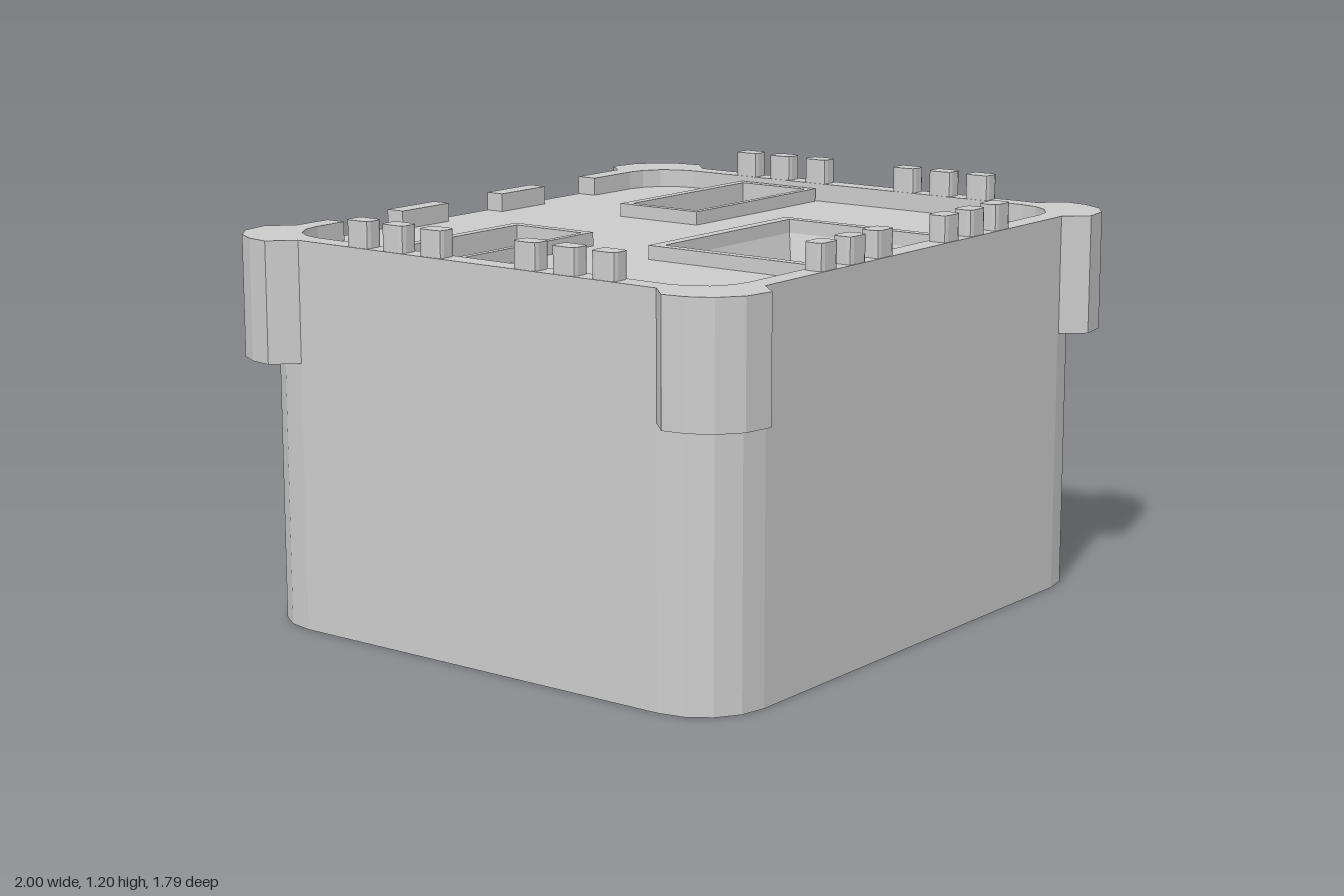
import * as THREE from 'three';

const FLOOR = 1.07, RIM = 1.125, FRAME = 1.11, PIT = 0.94;
const HX = 0.935, HZ = 0.83;

const material = new THREE.MeshStandardMaterial({ color: 0xcccccc, flatShading: true, side: THREE.DoubleSide });

// Quarter arc of plan points [x, z] for the corner on side (sx, sz), from the x side to the z side
function cornerArc(hx, hz, r, sx, sz, n = 4) {
  return Array.from({ length: n + 1 }, (_, i) => {
    const a = (i / n) * Math.PI / 2;
    return [sx * (hx - r + r * Math.cos(a)), sz * (hz - r + r * Math.sin(a))];
  });
}

// Rounded rectangle running from the back edge round +x, front, -x and again to the back
function outline(hx, hz, r, n = 4) {
  return [
    ...cornerArc(hx, hz, r, 1, -1, n).reverse(), ...cornerArc(hx, hz, r, 1, 1, n),
    ...cornerArc(hx, hz, r, -1, 1, n).reverse(), ...cornerArc(hx, hz, r, -1, -1, n),
  ];
}

const rect = (x0, x1, z0, z1) => [[x0, z0], [x1, z0], [x1, z1], [x0, z1]];
const toVectors = (pts) => pts.map(([x, z]) => new THREE.Vector2(x, -z));

function planShape(pts, holes = []) {
  const shape = new THREE.Shape(toVectors(pts));
  shape.holes = holes.map((h) => new THREE.Path(toVectors(h)));
  return shape;
}

// Upright prism over a plan outline
function prism(pts, y0, y1, holes) {
  const geo = new THREE.ExtrudeGeometry(planShape(pts, holes), { depth: y1 - y0, bevelEnabled: false });
  return geo.rotateX(-Math.PI / 2).translate(0, y0, 0);
}

// Walls between two plan loops, with an optional four-cornered floor on the second
function loft(top, y0, bottom, y1, floor) {
  const n = top.length, pos = [], index = [];
  top.forEach(([x, z]) => pos.push(x, y0, z));
  bottom.forEach(([x, z]) => pos.push(x, y1, z));
  for (let i = 0; i < n; i++) {
    const j = (i + 1) % n;
    index.push(i, n + i, j, j, n + i, n + j);
  }
  if (floor) index.push(n, n + 2, n + 1, n, n + 3, n + 2);
  const geo = new THREE.BufferGeometry();
  geo.setAttribute('position', new THREE.Float32BufferAttribute(pos, 3));
  geo.setIndex(index);
  const flat = geo.toNonIndexed();
  flat.computeVertexNormals();
  return flat;
}

export function createModel() {
  const model = new THREE.Group();
  model.name = 'housing';
  const add = (name, geo, parent = model) => {
    const mesh = new THREE.Mesh(geo, material);
    mesh.name = name;
    parent.add(mesh);
    return mesh;
  };

  // Hollow body, open underneath
  const body = outline(HX, HZ, 0.2);
  add('bodyWall', loft([...body].reverse(), FLOOR, [...body].reverse(), 0, false));

  // Recessed pockets: frame outside, opening, pocket floor
  const pockets = [
    { name: 'frontPocket', outer: rect(-0.34, 0.32, 0.14, 0.77), open: rect(-0.31, 0.29, 0.175, 0.74), base: rect(-0.265, 0.245, 0.215, 0.74) },
    { name: 'rightPocket', outer: rect(-0.865, -0.25, -0.42, -0.13), open: rect(-0.84, -0.28, -0.39, -0.15) },
    { name: 'leftPocket', outer: rect(0.24, 0.86, -0.42, -0.13), open: rect(0.265, 0.83, -0.39, -0.15) },
  ];
  for (const { name, outer, open, base = open } of pockets) {
    const group = new THREE.Group();
    group.name = name;
    add('frame', prism(outer, FLOOR, FRAME, [open]), group);
    add('pocketLining', loft(open, FLOOR, base, PIT, true), group);
    model.add(group);
  }

  // Top plate with pocket openings
  const plate = new THREE.ShapeGeometry(planShape(body, pockets.map((p) => p.open)));
  add('topPlate', plate.rotateX(-Math.PI / 2).translate(0, FLOOR, 0));

  // Raised rim, open along the middle of the back, and two tabs in the gap
  const inner = outline(0.87, 0.765, 0.15).reverse();
  add('rim', prism([[0.54, -HZ], ...body, [-0.61, -HZ], [-0.61, -0.765], ...inner, [0.54, -0.765]], FLOOR, RIM));
  for (const x of [-0.355, 0.095]) add('backTab', prism(rect(x, x + 0.205, -HZ, -0.77), FLOOR, RIM));

  // Flared corner lugs wrapped around the body corners
  const lug = [[0.74, 0.83], [0.80, 0.895], [0.89, 0.88], [0.955, 0.83], [0.99, 0.765], [1.0, 0.695], [0.935, 0.63]];
  for (const sx of [1, -1]) for (const sz of [1, -1]) {
    const pts = [...lug.map(([x, z]) => [sx * x, sz * z]), ...cornerArc(HX, HZ, 0.2, sx, sz)];
    add('cornerLug', prism(pts, 0.775, RIM));
  }

  // Rounded teeth in threes along the sides and the front
  const tooth = (w, d, x, z) =>
    add('tooth', prism(outline(w / 2, d / 2, 0.015, 2).map(([a, b]) => [a + x, b + z]), RIM, 1.2));
  for (const z of [-0.41, -0.28, -0.143, 0.188, 0.32, 0.452])
    for (const side of [1, -1]) tooth(0.06, 0.08, side * 0.902, z);
  for (const x of [-0.446, -0.312, -0.18, 0.152, 0.285, 0.418]) tooth(0.08, 0.06, x, 0.797);

  return model;
}
